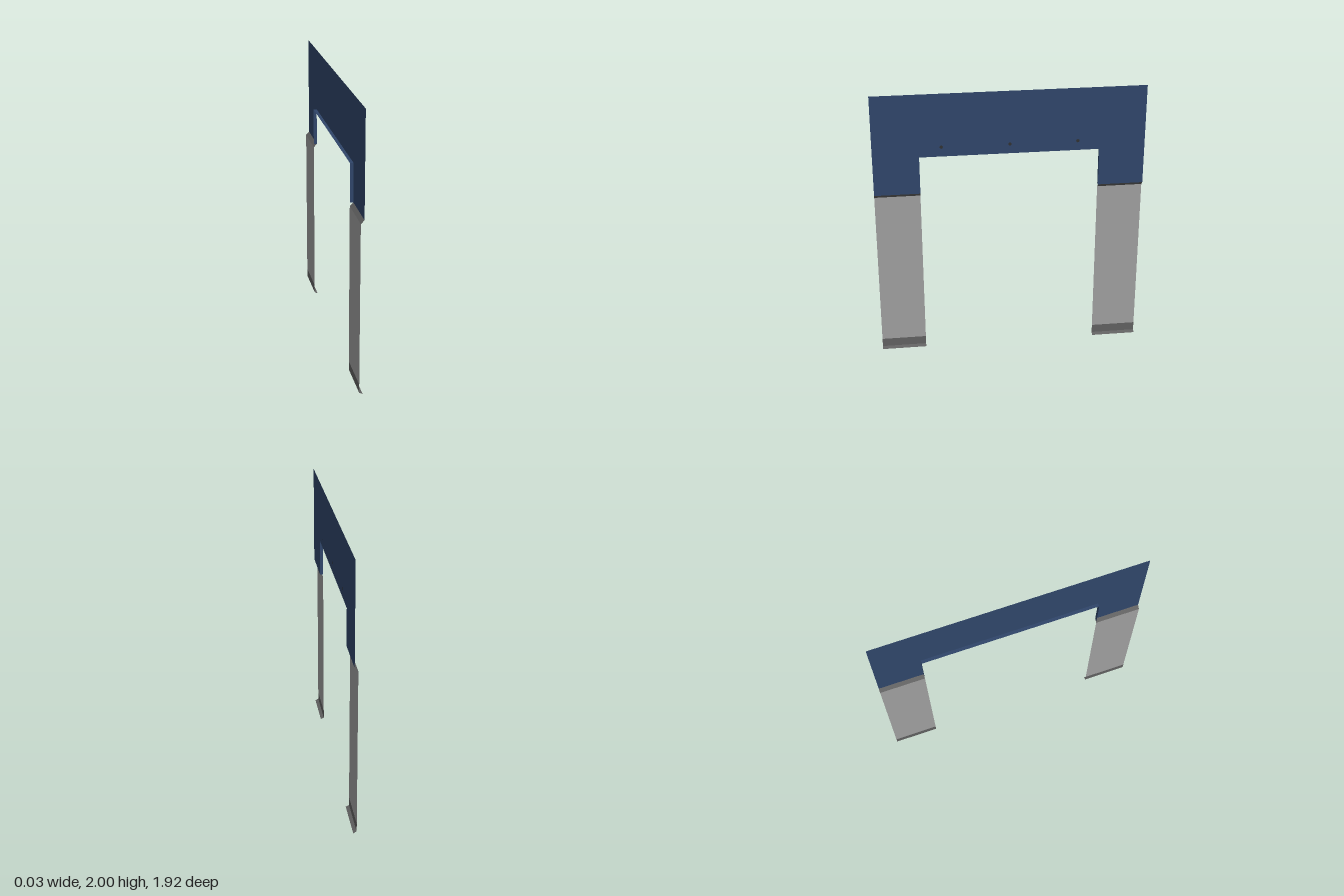
import * as THREE from 'three';

const X = 0.012;            // half depth of the frame
const OUT = 0.96, IN = 0.635; // outer and inner edges of the legs along z
const TOP = 2, NOTCH = 1.54, HEM = 1.265;

// Open sheet made by sweeping a line of points from one offset to another
function sheet(points, offset) {
  const pos = [];
  for (let i = 0; i < points.length - 1; i++) {
    const a = points[i], b = points[i + 1];
    const a2 = a.clone().add(offset), b2 = b.clone().add(offset);
    for (const p of [a, b, b2, a, b2, a2]) pos.push(p.x, p.y, p.z);
  }
  const g = new THREE.BufferGeometry();
  g.setAttribute('position', new THREE.Float32BufferAttribute(pos, 3));
  g.computeVertexNormals();
  return g;
}

function material(name, color) {
  const m = new THREE.MeshStandardMaterial({ color, side: THREE.DoubleSide });
  m.name = name;
  return m;
}

export function createModel() {
  const group = new THREE.Group();
  const navy = material('navy', 0x2f4569);
  const grey = material('grey', 0x9e9e9e);
  const darkGrey = material('dark grey', 0x606060);
  const black = material('charcoal', 0x303030);

  const add = (name, geometry, mat) => {
    const mesh = new THREE.Mesh(geometry, mat);
    mesh.name = name;
    group.add(mesh);
    return mesh;
  };
  const V = (x, y, z) => new THREE.Vector3(x, y, z);

  // Header panel with two short drops
  const outline = [
    [-OUT, HEM], [-IN, HEM], [-IN, NOTCH], [IN, NOTCH],
    [IN, HEM], [OUT, HEM], [OUT, TOP], [-OUT, TOP],
  ].map(([z, y]) => new THREE.Vector2(z, y));
  const panel = new THREE.ShapeGeometry(new THREE.Shape(outline));
  panel.rotateY(Math.PI / 2);
  panel.translate(X, 0, 0);
  add('headerPanel', panel, navy);

  // Return lip around the opening
  add('openingLip', sheet(
    [V(X, HEM, IN), V(X, NOTCH, IN), V(X, NOTCH, -IN), V(X, HEM, -IN)],
    V(-2 * X, 0, 0)), navy);

  // Legs set back behind the header, with a sloped trim and a kicked foot
  for (const [side, z] of [['front', IN], ['back', -OUT]]) {
    const along = V(0, 0, OUT - IN);
    add(side + 'Trim', sheet([V(X, HEM, z), V(-X, 1.24, z)], along), darkGrey);
    add(side + 'Leg', sheet([V(-X, 1.24, z), V(-X, 0.075, z)], along), grey);
    add(side + 'Foot', sheet(
      [V(-X, 0.075, z), V(-X, 0.012, z), V(X, 0, z)], along), darkGrey);
  }

  // Small studs above the opening
  for (const z of [-0.48, 0, 0.48]) {
    const stud = add('stud', new THREE.CircleGeometry(0.012, 12), black);
    stud.rotation.y = Math.PI / 2;
    stud.position.set(X + 0.001, 1.61, z);
  }
  return group;
}
